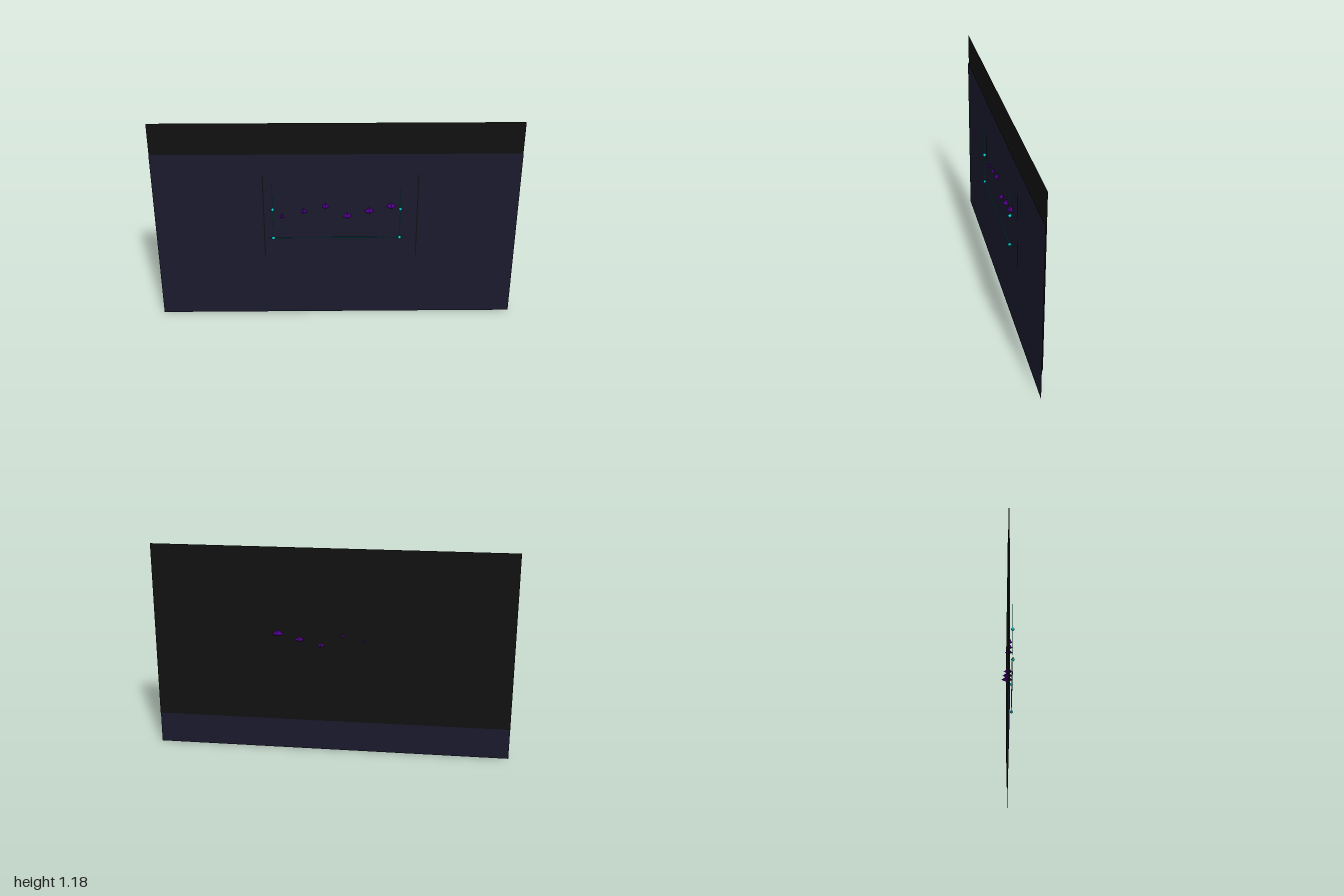
import * as THREE from 'three';

const material = (color, extra = {}) => new THREE.MeshStandardMaterial({ color, ...extra });

export function createModel() {
  const model = new THREE.Group();
  const add = (name, geometry, mat, x, y, z) => {
    const mesh = new THREE.Mesh(geometry, mat);
    mesh.name = name;
    mesh.position.set(x, y, z);
    model.add(mesh);
    return mesh;
  };

  const navy = material(0x1a1a2e, { side: THREE.DoubleSide });
  const black = material(0x111111, { side: THREE.DoubleSide });
  const purple = material(0x4b0082, { flatShading: true });
  const teal = material(0x00ced1);
  const darkTeal = material(0x0c8070);

  // Two thin sheets, the rear one raised
  const sheet = new THREE.PlaneGeometry(2, 1);
  add('frontSheet', sheet, navy, 0, 0.5, 0.003);
  add('rearSheet', sheet, black, 0, 0.678, -0.002);

  // Fine dark strips on either side of the frame
  const strip = new THREE.PlaneGeometry(0.006, 0.5);
  for (const x of [-0.4, 0.445]) add('darkStrip', strip, black, x, 0.63, 0.005);

  // Row of growing four-sided spikes in a repeating three-step rise
  for (let i = 0; i < 6; i++) {
    const spike = new THREE.ConeGeometry(0.012 + 0.0043 * i, 0.025, 4);
    add('spike', spike, purple, -0.3 + 0.12 * i, 0.638 + 0.03 * (i % 3), 0.0105 - 0.0022 * i);
  }

  // Thin frame: bottom rail, side posts and bead joints
  const frameZ = 0.025;
  add('bottomRail', new THREE.BoxGeometry(0.75, 0.003, 0.003), darkTeal, 0, 0.503, frameZ);
  const post = new THREE.BoxGeometry(0.003, 0.3, 0.003);
  const bead = new THREE.SphereGeometry(0.009, 16, 12);
  for (const x of [-0.35, 0.35]) {
    add('sidePost', post, darkTeal, x, 0.68, frameZ);
    for (const y of [0.503, 0.68]) add('bead', bead, teal, x, y, frameZ);
  }
  return model;
}
